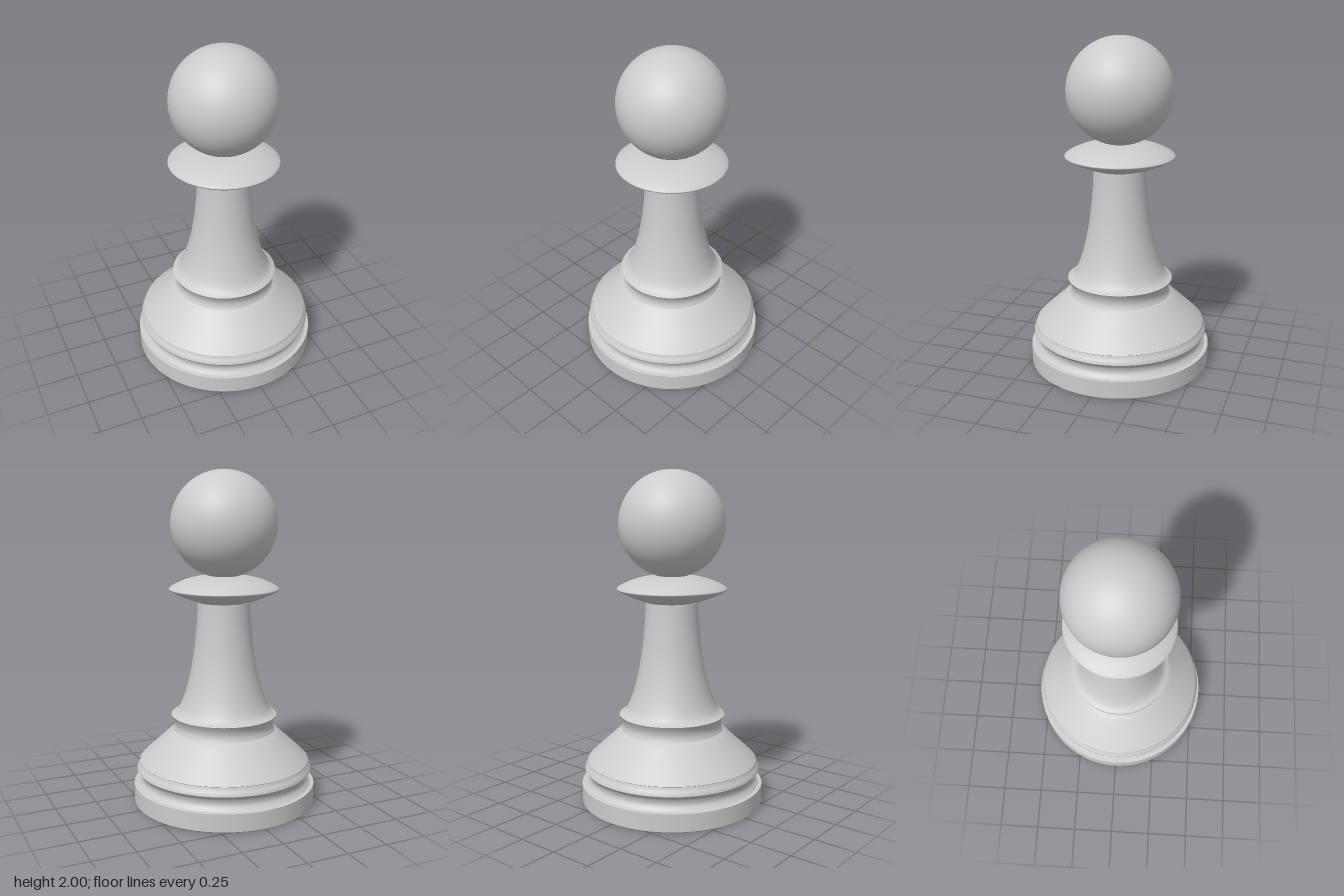
import * as THREE from 'three';

const SEGMENTS = 96;

export function createModel() {
  const group = new THREE.Group();
  const material = new THREE.MeshStandardMaterial({ color: 0xcccccc, side: THREE.DoubleSide });

  function add(name, geometry) {
    const mesh = new THREE.Mesh(geometry, material);
    mesh.name = name;
    group.add(mesh);
    return mesh;
  }

  // Turned section: [radius, height] points from bottom to top, smoothed if steps > 0
  function turn(name, profile, steps = 0) {
    let points = profile.map(([r, y]) => new THREE.Vector2(r, y));
    if (steps) points = new THREE.SplineCurve(points).getPoints(steps);
    return add(name, new THREE.LatheGeometry(points, SEGMENTS));
  }

  // Base: underside, small bottom bevel, plinth wall and ledge
  turn('baseUnderside', [[0, 0], [0.545, 0]]);
  turn('baseBevel', [[0.545, 0], [0.553, 0.008]]);
  turn('baseWall', [[0.553, 0.008], [0.553, 0.115]]);
  turn('baseLedge', [[0.553, 0.115], [0.53, 0.118]]);

  // Hollow groove and the rounded rim over it
  turn('baseGroove', [[0.53, 0.118], [0.513, 0.14], [0.509, 0.16], [0.516, 0.185], [0.535, 0.207]], 16);
  turn('baseRim', [[0.535, 0.207], [0.53, 0.222], [0.519, 0.24], [0.513, 0.257]], 10);
  turn('rimLedge', [[0.513, 0.257], [0.516, 0.26]]);

  // Sloping shoulder
  turn('shoulder', [[0.516, 0.26], [0.46, 0.314], [0.4, 0.369], [0.35, 0.415], [0.325, 0.436], [0.309, 0.447]], 20);

  // Waist groove and lip under the stem
  turn('waistGroove', [[0.309, 0.447], [0.301, 0.468], [0.3, 0.49], [0.307, 0.515], [0.32, 0.54]], 16);

  // Flaring stem
  turn('stem', [
    [0.32, 0.54], [0.291, 0.558], [0.268, 0.59], [0.243, 0.65], [0.222, 0.72], [0.203, 0.8],
    [0.185, 0.9], [0.173, 1.0], [0.163, 1.11], [0.157, 1.225],
  ], 48);

  // Lens-shaped collar
  turn('collar', [
    [0.14, 1.224], [0.19, 1.238], [0.25, 1.261], [0.305, 1.286], [0.327, 1.301], [0.321, 1.314],
    [0.28, 1.337], [0.22, 1.36], [0.15, 1.376], [0.08, 1.382], [0, 1.383],
  ], 48);

  // Round head
  const head = add('head', new THREE.SphereGeometry(0.315, SEGMENTS, 48));
  head.position.y = 1.685;

  return group;
}
